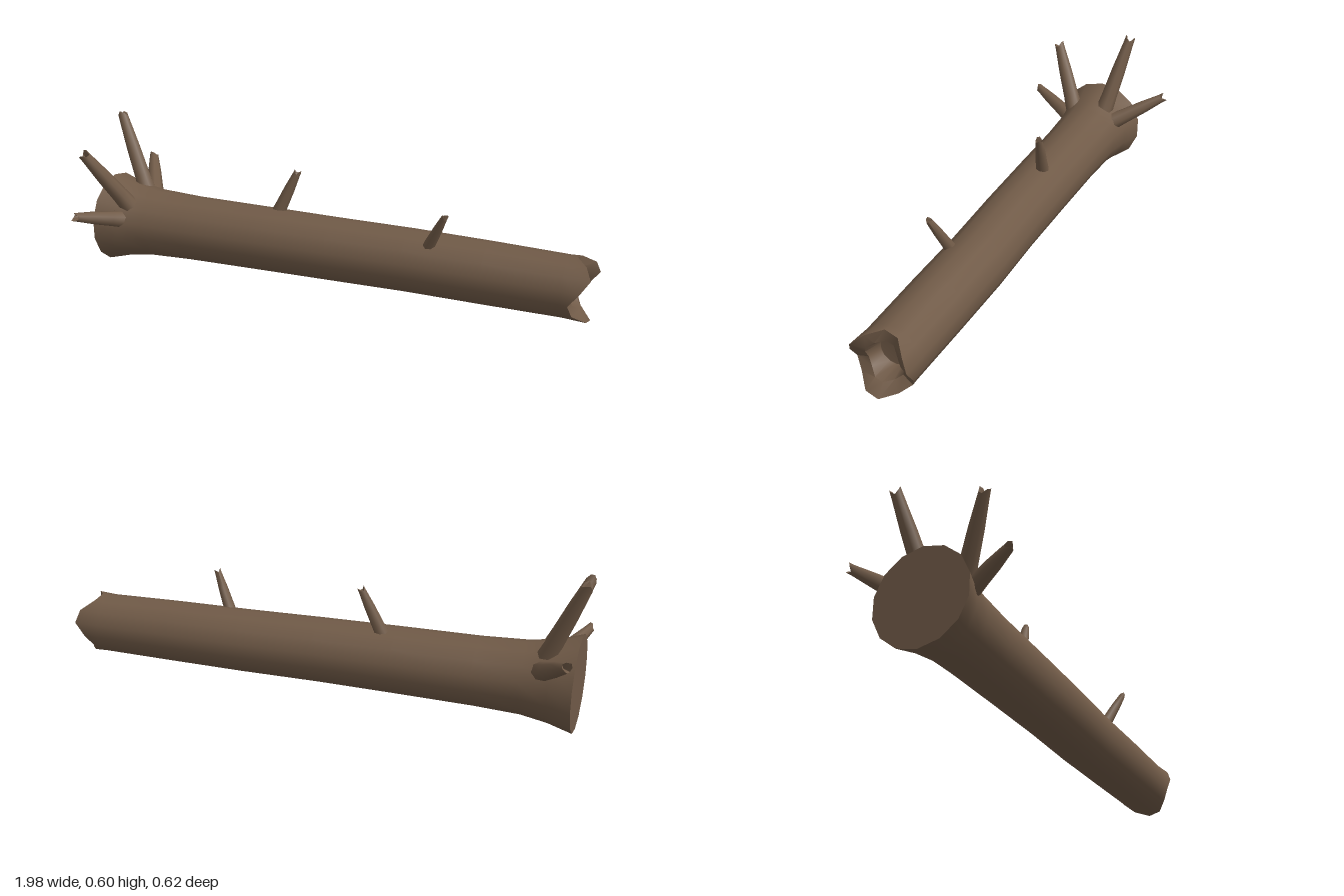
import * as THREE from 'three';
import { toCreasedNormals } from 'three/addons/utils/BufferGeometryUtils.js';

// Skin a row of rings running along +x; each ring is {x, y, z, r, jag(angle)}.
function loft(rings, sides) {
  const pts = rings.map(({ x, y = 0, z = 0, r, jag }) =>
    Array.from({ length: sides }, (_, j) => {
      const a = Math.PI / 2 + (j / sides) * Math.PI * 2;
      return [x + (jag ? jag(a) : 0), y + r * Math.sin(a), z + r * Math.cos(a)];
    }));
  const pos = [];
  for (let i = 0; i < rings.length - 1; i++) {
    for (let j = 0; j < sides; j++) {
      const k = (j + 1) % sides;
      const a = pts[i][j], b = pts[i][k], c = pts[i + 1][j], d = pts[i + 1][k];
      if (rings[i].r > 0) pos.push(...a, ...c, ...b);
      if (rings[i + 1].r > 0) pos.push(...b, ...c, ...d);
    }
  }
  const geo = new THREE.BufferGeometry();
  geo.setAttribute('position', new THREE.Float32BufferAttribute(pos, 3));
  return toCreasedNormals(geo, 0.85);
}

export function createModel() {
  const group = new THREE.Group();
  const bark = new THREE.MeshStandardMaterial({ color: 0x705a47, side: THREE.DoubleSide });

  // Trunk: flared cut base, gently curved body, splintered hollow end
  const body = [
    [-0.96, 0.18, -0.008, 0],
    [-0.96, 0.18, -0.008, 0.178],
    [-0.87, 0.178, -0.01, 0.151],
    [-0.77, 0.178, -0.012, 0.135],
    [-0.6, 0.178, -0.017, 0.128],
    [-0.3, 0.18, -0.027, 0.125],
    [0, 0.181, -0.038, 0.122],
    [0.3, 0.181, -0.054, 0.12],
    [0.6, 0.18, -0.06, 0.118],
    [0.89, 0.178, -0.066, 0.114],
  ].map(([x, y, z, r]) => ({ x, y, z, r }));
  const splinter = (amp) => (a) => amp * Math.cos(3 * (a - 0.7));
  const end = { y: 0.178, z: -0.064 };
  body.push(
    { x: 0.953, ...end, r: 0.117, jag: splinter(0.036) },
    { x: 0.935, ...end, r: 0.072, jag: splinter(0.018) },
    { x: 0.87, ...end, r: 0.055 },
    { x: 0.865, ...end, r: 0 },
  );
  const trunk = new THREE.Mesh(loft(body, 14), bark);
  trunk.name = 'trunk';
  group.add(trunk);

  // Broken branch stubs: base point, tip point, base radius, tip radius
  const stubs = [
    [[-0.84, 0.27, -0.06], [-0.977, 0.582, -0.115], 0.037, 0.02],
    [[-0.84, 0.26, 0.07], [-0.952, 0.505, 0.202], 0.037, 0.02],
    [[-0.865, 0.22, 0.11], [-0.95, 0.28, 0.295], 0.034, 0.017],
    [[-0.84, 0.25, -0.11], [-0.952, 0.355, -0.29], 0.036, 0.018],
    [[-0.25, 0.275, -0.053], [-0.169, 0.457, -0.072], 0.028, 0.014],
    [[0.385, 0.26, -0.005], [0.462, 0.413, 0.043], 0.024, 0.012],
  ];
  stubs.forEach(([from, to, r0, r1], i) => {
    const base = new THREE.Vector3(...from);
    const dir = new THREE.Vector3(...to).sub(base);
    const len = dir.length();
    const jag = (a) => r1 * 0.6 * Math.cos(2 * a + i);
    const geo = loft([
      { x: -0.03, r: r0 * 1.08 },
      { x: len * 0.25, r: r0 * 0.88 },
      { x: len * 0.6, r: (r0 + r1) * 0.5 },
      { x: len - r1 * 0.8, r: r1 * 1.05 },
      { x: len, r: r1, jag },
      { x: len - r1 * 0.4, r: r1 * 0.6, jag },
      { x: len - r1 * 1.8, r: 0 },
    ], 8);
    const stub = new THREE.Mesh(geo, bark);
    stub.name = `branchStub${i + 1}`;
    stub.position.copy(base);
    stub.quaternion.setFromUnitVectors(new THREE.Vector3(1, 0, 0), dir.normalize());
    group.add(stub);
  });

  return group;
}
